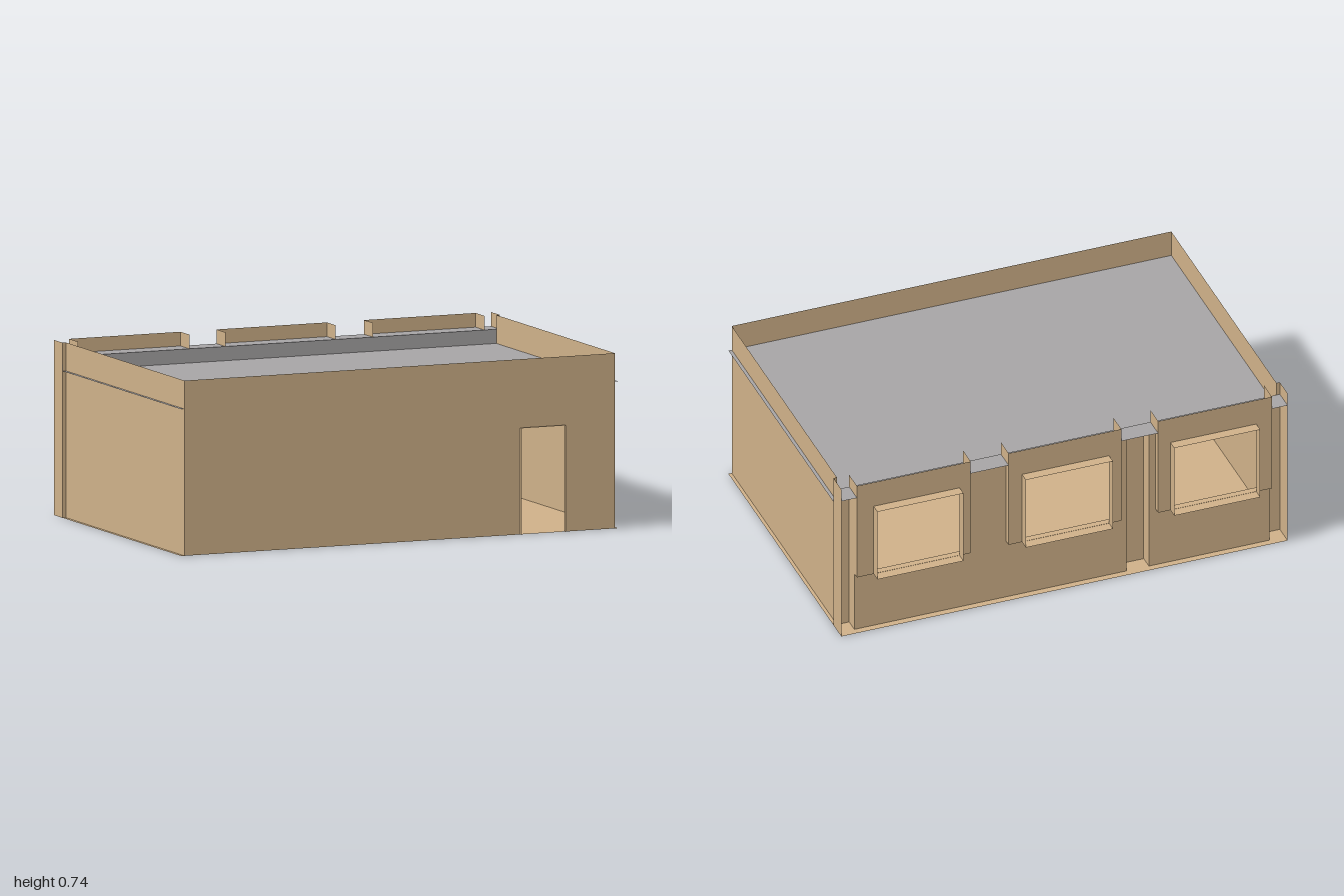
import * as THREE from 'three';

export function createModel() {
  const model = new THREE.Group();
  model.name = 'building';
  const tan = new THREE.MeshStandardMaterial({ name: 'tan wall', color: 0xcfb189, side: THREE.DoubleSide });
  const grey = new THREE.MeshStandardMaterial({ name: 'grey roof', color: 0xa7a5a6, side: THREE.DoubleSide });

  const rect = (P, a0, a1, b0, b1) => {
    const p = new P();
    p.moveTo(a0, b0).lineTo(a1, b0).lineTo(a1, b1).lineTo(a0, b1).closePath();
    return p;
  };

  // Thin sheet across one axis: 'x' spans (z, y), 'y' spans (x, z), 'z' spans (x, y)
  function sheet(name, axis, at, [a0, a1, b0, b1], mat = tan, hole = null) {
    const shape = rect(THREE.Shape, a0, a1, b0, b1);
    if (hole) shape.holes.push(rect(THREE.Path, ...hole));
    const geo = new THREE.ShapeGeometry(shape);
    if (axis === 'x') geo.rotateY(-Math.PI / 2);
    if (axis === 'y') geo.rotateX(Math.PI / 2);
    const mesh = new THREE.Mesh(geo, mat);
    mesh.name = name;
    mesh.position[axis] = at;
    model.add(mesh);
  }

  const H = 0.74, SIDE = 0.985, FRONT = 0.67;
  const BACK = -0.64, BASE = -0.61, DEEP = -0.55;
  const ROOF = 0.62, LEDGE = 0.68, SILL = 0.28, HEAD = 0.62;

  // Floor and stepped roof
  sheet('floor', 'y', 0, [-1, 1, BACK, FRONT]);
  sheet('mainRoof', 'y', ROOF, [-1, 1, DEEP, FRONT], grey);
  sheet('roofStep', 'z', DEEP, [-1, 1, ROOF, LEDGE], grey);
  sheet('rearRoofLedge', 'y', LEDGE, [-1, 1, BACK, DEEP], grey);

  // Front wall with doorway and its projecting frame
  const door = [0.55, 0.755, 0, 0.45];
  const front = new THREE.Shape();
  front.moveTo(-SIDE, 0).lineTo(door[0], 0).lineTo(door[0], door[3]).lineTo(door[1], door[3])
    .lineTo(door[1], 0).lineTo(SIDE, 0).lineTo(SIDE, H).lineTo(-SIDE, H).closePath();
  const frontWall = new THREE.Mesh(new THREE.ShapeGeometry(front), tan);
  frontWall.name = 'frontWall';
  frontWall.position.z = FRONT;
  model.add(frontWall);
  for (const x of [door[0], door[1]]) sheet('doorJamb', 'x', x, [FRONT, 0.685, 0, door[3]]);
  sheet('doorHead', 'y', door[3], [door[0], door[1], FRONT, 0.685]);

  // Side walls, rear corner fins and corner recesses
  for (const s of [-1, 1]) {
    sheet('sideWall', 'x', s * SIDE, [DEEP, FRONT, 0, H]);
    sheet('cornerFin', 'x', s, [BACK, DEEP, 0, H]);
    sheet('cornerFinReturn', 'z', DEEP, [Math.min(s, s * SIDE), Math.max(s, s * SIDE), 0, H]);
    const [a, b] = s > 0 ? [0.93, 1] : [-1, -0.93];
    sheet('cornerRecess', 'z', DEEP, [a, b, 0, ROOF]);
    sheet('baseEnd', 'x', s * 0.93, [BASE, DEEP, 0, SILL]);
  }

  // Rear panels: raised above the sill, each with a framed window
  const bays = [
    { panel: [-0.93, -0.42], win: [-0.86, -0.475] },
    { panel: [-0.255, 0.25], win: [-0.2, 0.19] },
    { panel: [0.42, 0.93], win: [0.47, 0.855] },
  ];
  for (const { panel, win } of bays) {
    sheet('rearPanel', 'z', BACK, [...panel, SILL, H], tan, [win[0], win[1], SILL + 0.001, HEAD]);
    sheet('panelUnderside', 'y', SILL, [...panel, BACK, BASE]);
    for (const x of panel) sheet('panelReturn', 'x', x, [BACK, DEEP, SILL, H]);
    for (const x of win) sheet('windowJamb', 'x', x, [-0.685, BACK, SILL, HEAD]);
    for (const y of [SILL, HEAD]) sheet('windowSillOrHead', 'y', y, [...win, -0.685, BACK]);
  }

  // Rear base wall, broken by one full-height slot
  const slot = [-0.39, -0.29];
  sheet('rearBase', 'z', BASE, [-0.93, slot[0], 0, SILL]);
  sheet('rearBase', 'z', BASE, [slot[1], 0.93, 0, SILL]);
  for (const x of slot) sheet('slotSide', 'x', x, [BASE, DEEP, 0, LEDGE]);
  sheet('slotBack', 'z', DEEP, [...slot, 0, ROOF]);

  // Wall between the panels, up to the roof ledge
  sheet('grooveWall', 'z', BASE, [0.25, 0.42, SILL, LEDGE]);
  sheet('grooveWall', 'z', BASE, [-0.42, slot[0], SILL, LEDGE]);
  sheet('grooveWall', 'z', BASE, [slot[1], -0.255, SILL, LEDGE]);

  return model;
}
